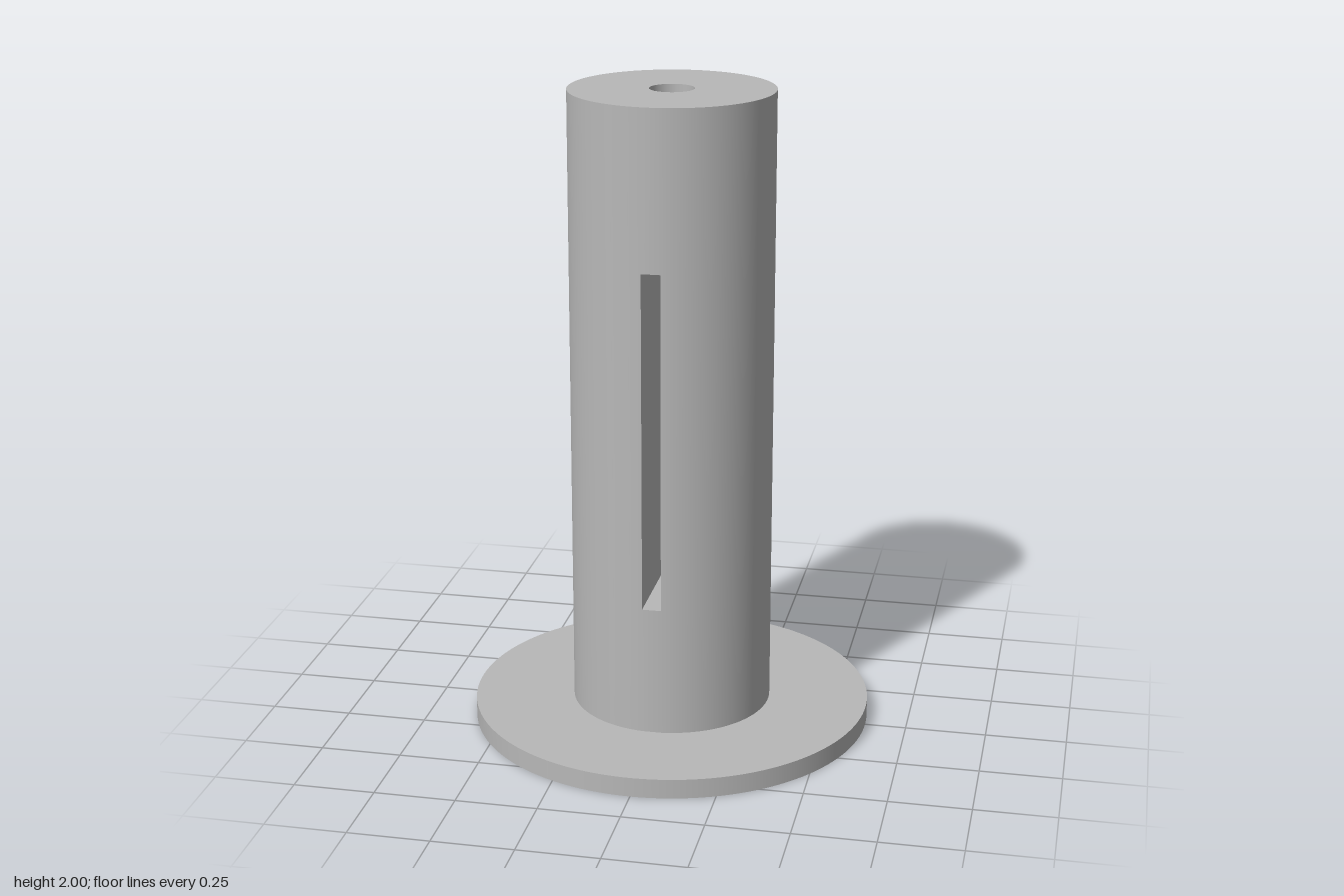
import * as THREE from 'three';

const R = 0.311, BASE_R = 0.622, BASE_H = 0.061, TOP = 2;
const SLOT_W = 0.058, SLOT_LO = 0.466, SLOT_HI = 1.514;
const HOLE_R = 0.068, HOLE_FLOOR = 1.6;
const POCKET = { w: 0.534, h: 0.35, d: 0.13 };

// Turns a closed form inside out so its walls face the cavity
function insideOut(geo) {
  const idx = Array.from(geo.index.array);
  for (let i = 0; i < idx.length; i += 3) [idx[i], idx[i + 2]] = [idx[i + 2], idx[i]];
  geo.setIndex(idx);
  const n = geo.attributes.normal;
  for (let i = 0; i < n.count; i++) n.setXYZ(i, -n.getX(i), -n.getY(i), -n.getZ(i));
  return geo;
}

// Inward-facing box keeping only the listed faces (+x, -x, +y, -y, +z, -z = 0..5)
function cavity(w, h, d, faces) {
  const geo = new THREE.BoxGeometry(w, h, d);
  const all = Array.from(geo.index.array);
  geo.clearGroups();
  geo.setIndex(faces.flatMap((f) => all.slice(f * 6, f * 6 + 6)));
  return insideOut(geo);
}

// Open curved wall between two heights
function wall(r, y0, y1, segments, start = 0, sweep = Math.PI * 2) {
  return new THREE.CylinderGeometry(r, r, y1 - y0, segments, 1, true, start, sweep)
    .translate(0, (y0 + y1) / 2, 0);
}

// Flat disc with an optional hole, facing up (1) or down (-1)
function disc(r, y, facing, hole) {
  const shape = new THREE.Shape().absarc(0, 0, r, 0, Math.PI * 2);
  if (hole) shape.holes.push(hole);
  return new THREE.ShapeGeometry(shape, 96).rotateX(-facing * Math.PI / 2).translate(0, y, 0);
}

export function createModel() {
  const model = new THREE.Group();
  model.name = 'slottedPost';
  const grey = new THREE.MeshStandardMaterial({ color: 0xb8b8b8 });
  grey.name = 'grey';
  const add = (parent, name, geo) => {
    const mesh = new THREE.Mesh(geo, grey);
    mesh.name = name;
    parent.add(mesh);
  };
  const group = (name) => {
    const g = new THREE.Group();
    g.name = name;
    model.add(g);
    return g;
  };

  // Round foot with a rectangular pocket underneath
  const base = group('base');
  const x = POCKET.w / 2, z = POCKET.d / 2;
  const opening = new THREE.Path([[-x, -z], [-x, z], [x, z], [x, -z]].map((p) => new THREE.Vector2(...p)));
  add(base, 'baseRim', wall(BASE_R, 0, BASE_H, 128));
  add(base, 'baseTop', disc(BASE_R, BASE_H, 1, new THREE.Path().absarc(0, 0, R - 0.005, 0, Math.PI * 2, true)));
  add(base, 'baseBottom', disc(BASE_R, 0, -1, opening));
  add(base, 'basePocket', cavity(POCKET.w, POCKET.h, POCKET.d, [0, 1, 2, 4, 5]).translate(0, POCKET.h / 2, 0));

  // Post wall: two long sides, with strips above and below each slot
  const post = group('post');
  const half = Math.asin(SLOT_W / 2 / R);
  for (const turn of [0, Math.PI]) {
    add(post, 'postSide', wall(R, BASE_H, TOP, 48, turn + half, Math.PI - 2 * half));
    add(post, 'stripBelowSlot', wall(R, BASE_H, SLOT_LO, 1, turn - half, 2 * half));
    add(post, 'stripAboveSlot', wall(R, SLOT_HI, TOP, 1, turn - half, 2 * half));
  }

  // Slot running through from front to back
  const slotDepth = 2 * R * Math.cos(half);
  add(post, 'slotWalls', cavity(SLOT_W, SLOT_HI - SLOT_LO, slotDepth, [0, 1, 2, 3])
    .translate(0, (SLOT_LO + SLOT_HI) / 2, 0));

  // Top face with a round blind hole
  add(post, 'postTop', disc(R, TOP, 1, new THREE.Path().absarc(0, 0, HOLE_R, 0, Math.PI * 2, true)));
  add(post, 'holeWall', insideOut(wall(HOLE_R, HOLE_FLOOR, TOP, 96)));
  add(post, 'holeFloor', disc(HOLE_R, HOLE_FLOOR, 1));

  return model;
}
